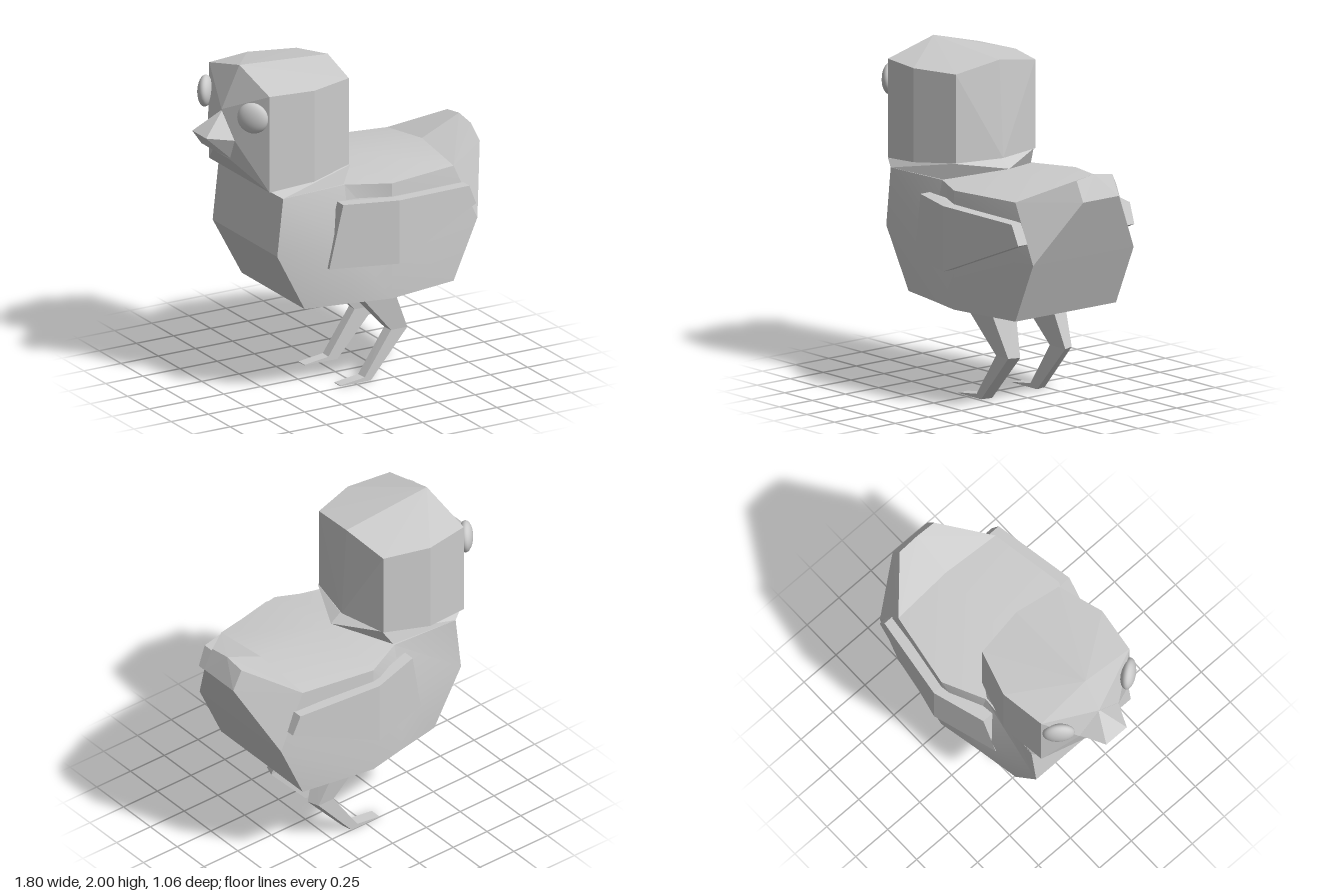
import * as THREE from 'three';
import { toCreasedNormals } from 'three/addons/utils/BufferGeometryUtils.js';
import { ConvexGeometry } from 'three/addons/geometries/ConvexGeometry.js';

const flat = new THREE.MeshStandardMaterial({ color: 0xcccccc, flatShading: true });
const smooth = new THREE.MeshStandardMaterial({ color: 0xcccccc });

function add(parent, name, geometry, material = flat) {
  const mesh = new THREE.Mesh(geometry, material);
  mesh.name = name;
  parent.add(mesh);
  return mesh;
}

// Faceted convex solid from corner points
const hull = (points) => new ConvexGeometry(points.map((p) => new THREE.Vector3(...p)));

// Same, with every off-centre corner repeated on the other side of z = 0
const mirroredHull = (points) =>
  hull(points.flatMap(([x, y, z]) => (z ? [[x, y, z], [x, y, -z]] : [[x, y, 0]])));

// Torso: half rings (bottom centre, bottom side, middle, shoulder, ridge) lofted front to back
function torsoGeometry() {
  const stations = [
    [[-0.41, 0.57, 0], [-0.41, 0.57, 0.36], [-0.6, 0.93, 0.37], [-0.56, 1.28, 0.37], [-0.56, 1.28, 0]],
    [[-0.13, 0.57, 0], [-0.13, 0.57, 0.41], [-0.13, 0.93, 0.42], [-0.13, 1.28, 0.34], [-0.13, 1.31, 0]],
    [[0.12, 0.57, 0], [0.12, 0.57, 0.46], [0.12, 0.93, 0.46], [0.12, 1.28, 0.46], [0.12, 1.33, 0]],
    [[0.58, 0.57, 0], [0.58, 0.57, 0.38], [0.74, 0.93, 0.38], [0.58, 1.28, 0.38], [0.59, 1.33, 0]],
  ];
  const rings = stations.map((h) => [...h, ...h.slice(1, 4).reverse().map(([x, y, z]) => [x, y, -z])]);
  const n = rings[0].length;
  const index = [];
  for (let i = 0; i < rings.length - 1; i++) {
    for (let j = 0; j < n; j++) {
      const a = i * n + j, b = i * n + ((j + 1) % n);
      index.push(a, a + n, b, b, a + n, b + n);
    }
  }
  // Breast cap
  const centre = rings.length * n;
  for (let j = 0; j < n; j++) index.push(centre, j, (j + 1) % n);
  const g = new THREE.BufferGeometry();
  g.setAttribute('position', new THREE.Float32BufferAttribute([...rings.flat(2), -0.6, 0.93, 0], 3));
  g.setIndex(index);
  return toCreasedNormals(g, 0.5);
}

// Bent wing slab; the outer surface peaks at x = 0.12
function wingGeometry(side) {
  const outer = (x) => (x < 0.12 ? 0.53 - 0.3 * (0.12 - x) : 0.53 - 0.16 * (x - 0.12));
  const outline = [[-0.2, 1.2], [0.12, 1.2], [0.64, 1.17], [0.69, 1.05], [0.12, 0.81], [-0.28, 0.81]];
  return hull(outline.flatMap(([x, y]) => [[x, y, side * outer(x)], [x, y, side * (outer(x) - 0.07)]]));
}

// Leg: tapered sections, each [front x, y, rear x, y, half width, outer-face inset]
function makeLeg(side) {
  const leg = new THREE.Group();
  const sections = [
    [-0.03, 0.58, 0.28, 0.58, 0.075, 0.055],
    [0.235, 0.285, 0.375, 0.285, 0.035, 0.025],
    [0.06, 0.025, 0.12, 0, 0.035, 0.015],
    [-0.1, 0.004, -0.1, 0, 0.035, 0],
  ];
  const corners = ([fx, fy, rx, ry, w, inset]) => [
    [fx, fy, -side * w], [rx, ry, -side * w],
    [fx + inset * 0.2, fy, side * w], [rx - inset, ry, side * w],
  ];
  ['thigh', 'shin', 'foot'].forEach((name, i) =>
    add(leg, name, hull([...corners(sections[i]), ...corners(sections[i + 1])])));
  leg.position.z = side * 0.205 - 0.01;
  leg.name = side > 0 ? 'frontSideLeg' : 'backSideLeg';
  return leg;
}

export function createModel() {
  const model = new THREE.Group();
  model.name = 'chick';

  const body = new THREE.Group();
  body.name = 'body';
  body.position.z = -0.012;
  add(body, 'torso', torsoGeometry(), smooth);
  add(body, 'tail', mirroredHull([
    [0.58, 0.57, 0.38], [0.74, 0.93, 0.38], [0.58, 1.28, 0.38], [0.59, 1.33, 0],
    [0.9, 1.3, 0.135], [0.84, 1.42, 0.135], [0.84, 1.44, 0],
  ]));
  add(body, 'neck', mirroredHull([
    [-0.56, 1.28, 0.37], [-0.13, 1.28, 0.33], [0.07, 1.33, 0],
    [-0.62, 1.32, 0.34], [-0.07, 1.38, 0.3], [0, 1.38, 0],
  ]));

  const head = new THREE.Group();
  head.name = 'head';
  head.position.z = -0.025;
  add(head, 'skull', mirroredHull([
    // crown
    [-0.63, 2, 0], [-0.035, 1.96, 0], [-0.63, 1.91, 0.345], [-0.35, 1.91, 0.385], [-0.07, 1.91, 0.3],
    // underside
    [-0.63, 1.32, 0.345], [-0.35, 1.35, 0.385], [-0.07, 1.38, 0.3], [0, 1.38, 0],
    // face
    [-0.75, 1.75, 0], [-0.75, 1.6, 0.155], [-0.75, 1.47, 0.1],
  ]));
  add(head, 'beak', mirroredHull([
    [-0.74, 1.75, 0], [-0.74, 1.6, 0.155], [-0.74, 1.47, 0.1], [-0.9, 1.62, 0.08], [-0.85, 1.54, 0.06],
  ]));

  for (const side of [1, -1]) {
    const eye = add(head, 'eye', new THREE.SphereGeometry(1, 24, 16), smooth);
    eye.scale.set(0.095, 0.093, 0.045);
    eye.rotation.y = -side * 0.9;
    eye.position.set(-0.7, 1.77, side * 0.272);

    add(model, 'wing', wingGeometry(side));
    model.add(makeLeg(side));
  }
  model.add(body, head);
  return model;
}
